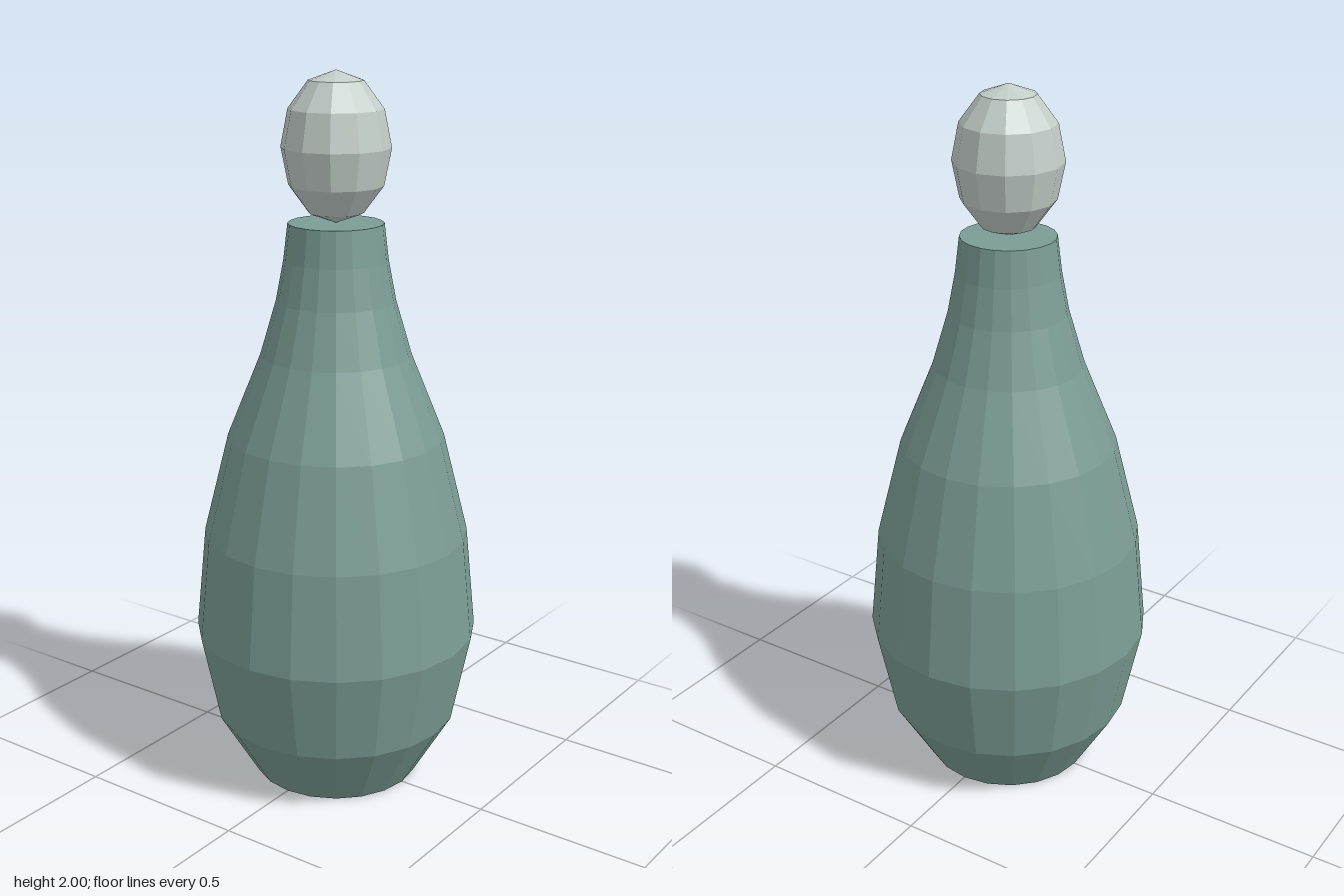
import * as THREE from 'three';

export function createModel() {
  const model = new THREE.Group();
  model.name = 'bottlePiece';

  const bodyGreen = new THREE.MeshStandardMaterial({ name: 'mutedTeal', color: 0x7b9c95, flatShading: true });
  const headGrey = new THREE.MeshStandardMaterial({ name: 'paleGrey', color: 0xc2cdc8, flatShading: true });

  // Body: faceted bottle shape, closed at base and top
  const profile = [
    [0, 0], [0.235, 0], [0.345, 0.185], [0.398, 0.44], [0.37, 0.73],
    [0.3, 1.01], [0.207, 1.24], [0.163, 1.39], [0.142, 1.5], [0.13, 1.6], [0, 1.6],
  ].map(([r, y]) => new THREE.Vector2(r, y));
  const body = new THREE.Mesh(new THREE.LatheGeometry(profile, 20), bodyGreen);
  body.name = 'body';
  model.add(body);

  // Head: tall low-poly ball resting on the neck
  const head = new THREE.Mesh(new THREE.SphereGeometry(0.148, 12, 6), headGrey);
  head.name = 'head';
  head.scale.y = 0.2 / 0.148;
  head.position.y = 1.8;
  model.add(head);

  return model;
}
